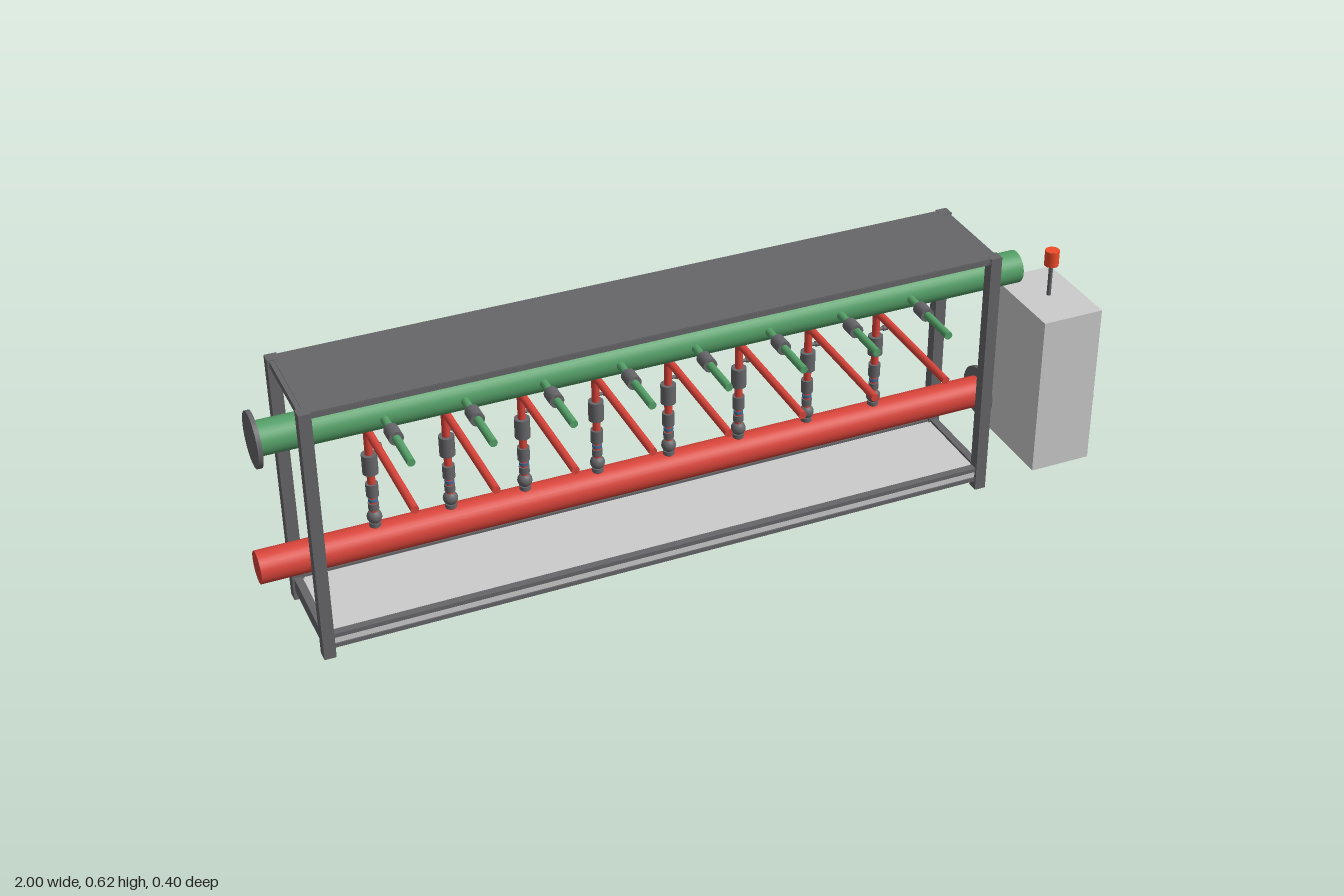
import * as THREE from 'three';

const mat = (color) => new THREE.MeshStandardMaterial({ color });
const steel = mat(0x66666a), light = mat(0xcccccc), red = mat(0xd9443a), green = mat(0x55a068);
const glass = mat(0x445560), beaconRed = mat(0xf04a28), ivory = mat(0xe4e4d8), blue = mat(0x3f6f9a);

function add(parent, name, geometry, material, x, y, z) {
  const mesh = new THREE.Mesh(geometry, material);
  mesh.name = name;
  mesh.position.set(x, y, z);
  parent.add(mesh);
  return mesh;
}

// Box given by its lower and upper limits on each axis
function box(parent, name, material, [x0, x1], [y0, y1], [z0, z1]) {
  return add(parent, name, new THREE.BoxGeometry(x1 - x0, y1 - y0, z1 - z0), material,
    (x0 + x1) / 2, (y0 + y1) / 2, (z0 + z1) / 2);
}

// Round bar between two points
function rod(parent, name, material, a, b, r, sides = 20) {
  const from = new THREE.Vector3(...a), to = new THREE.Vector3(...b);
  const dir = to.clone().sub(from);
  const mid = from.clone().add(to).multiplyScalar(0.5);
  const mesh = add(parent, name, new THREE.CylinderGeometry(r, r, dir.length(), sides), material, mid.x, mid.y, mid.z);
  mesh.quaternion.setFromUnitVectors(new THREE.Vector3(0, 1, 0), dir.normalize());
  return mesh;
}

function group(parent, name) {
  const g = new THREE.Group();
  g.name = name;
  parent.add(g);
  return g;
}

const SUPPLY = { y: 0.139, z: -0.133 };
const RETURN = { y: 0.541, z: -0.011 };

function buildFrame(root) {
  const frame = group(root, 'frame');
  const xs = [-0.901, 0.681], zs = [0.047, -0.185], h = 0.0135;
  for (const x of xs) {
    for (const z of zs) box(frame, 'post', steel, [x - h, x + h], [0, 0.617], [z - h, z + h]);
    for (const [y0, y1] of [[0.599, 0.615], [0.024, 0.058]])
      box(frame, 'endRail', steel, [x - 0.009, x + 0.009], [y0, y1], [zs[1], zs[0]]);
  }
  for (const z of zs) {
    box(frame, 'topRail', steel, xs, [0.602, 0.615], [z - 0.009, z + 0.009]);
    box(frame, 'upperSkirtRail', steel, xs, [0.048, 0.058], [z - 0.009, z + 0.009]);
    box(frame, 'lowerSkirtRail', steel, xs, [0.022, 0.032], [z - 0.009, z + 0.009]);
  }
  box(frame, 'roofPanel', steel, [-0.9, 0.68], [0.606, 0.6165], [-0.194, 0.055]);
  box(frame, 'dripTray', light, [-0.895, 0.675], [0.032, 0.052], [-0.191, 0.053]);
  box(frame, 'trayUnderside', steel, [-0.895, 0.675], [0.024, 0.032], [-0.191, 0.053]);
}

function buildHeaders(root) {
  const headers = group(root, 'headers');
  for (const [name, m, p, flangeX] of [['supply', red, SUPPLY, 0.775], ['return', green, RETURN, -0.995]]) {
    rod(headers, name + 'Header', m, [-0.995, p.y, p.z], [0.775, p.y, p.z], 0.0375, 32);
    rod(headers, name + 'Flange', steel, [flangeX - 0.005, p.y, p.z], [flangeX + 0.005, p.y, p.z], 0.061, 32);
  }
}

function buildBranch(root, x) {
  const branch = group(root, 'branch');
  branch.position.x = x;

  // Return outlet with its valve
  rod(branch, 'returnOutlet', green, [0, RETURN.y, RETURN.z], [0, RETURN.y, 0.2], 0.009, 16);
  rod(branch, 'returnValve', steel, [0, RETURN.y, 0.067], [0, RETURN.y, 0.104], 0.016);

  // Supply riser that turns forward through an elbow
  const top = 0.427, z = -0.128, bend = 0.015;
  const path = new THREE.CurvePath();
  const v = (y, zz) => new THREE.Vector3(0, y, zz);
  path.add(new THREE.QuadraticBezierCurve3(v(top - bend, z), v(top, z), v(top, z + bend)));
  rod(branch, 'supplyRiser', red, [0, 0.15, z], [0, top - bend, z], 0.009, 16);
  add(branch, 'supplyElbow', new THREE.TubeGeometry(path, 8, 0.009, 16), red, 0, 0, 0);
  rod(branch, 'supplyOutlet', red, [0, top, z + bend], [0, top, 0.2], 0.009, 16);

  // Stack of fittings on the riser
  add(branch, 'ballValve', new THREE.SphereGeometry(0.017, 20, 12), steel, 0, 0.202, z);
  for (const [name, m, y0, y1, r] of [
    ['lowerCollar', steel, 0.178, 0.188, 0.013],
    ['upperCollar', steel, 0.222, 0.238, 0.012],
    ['indicatorRing', blue, 0.243, 0.25, 0.011],
    ['strainer', steel, 0.257, 0.289, 0.014],
    ['flowMeter', steel, 0.316, 0.364, 0.0175],
  ]) rod(branch, name, m, [0, y0, z], [0, y1, z], r);
  rod(branch, 'drainStem', steel, [0, 0.379, z], [0.026, 0.379, z], 0.004, 12);
  rod(branch, 'drainKnob', steel, [0.018, 0.379, z], [0.029, 0.379, z], 0.0065, 12);
}

function buildCabinet(root) {
  const cabinet = group(root, 'controlCabinet');
  box(cabinet, 'cabinetBody', light, [0.832, 0.984], [0, 0.405], [-0.185, 0.045]);
  box(cabinet, 'screen', glass, [0.98, 0.989], [0.194, 0.368], [-0.166, 0.028]);
  for (let i = 0; i < 8; i++) {
    const z = 0.018 - i * 0.0249;
    rod(cabinet, 'button', ivory, [0.98, 0.156, z], [1, 0.156, z], 0.0065, 16);
  }
  rod(cabinet, 'beaconPole', steel, [0.909, 0.4, -0.069], [0.909, 0.49, -0.069], 0.005, 12);
  rod(cabinet, 'beaconLamp', beaconRed, [0.909, 0.485, -0.069], [0.909, 0.523, -0.069], 0.017, 24);
}

export function createModel() {
  const root = new THREE.Group();
  root.name = 'manifoldSkid';
  buildFrame(root);
  buildHeaders(root);
  for (let i = 0; i < 8; i++) buildBranch(root, -0.729 + i * 0.1737);
  buildCabinet(root);
  return root;
}
